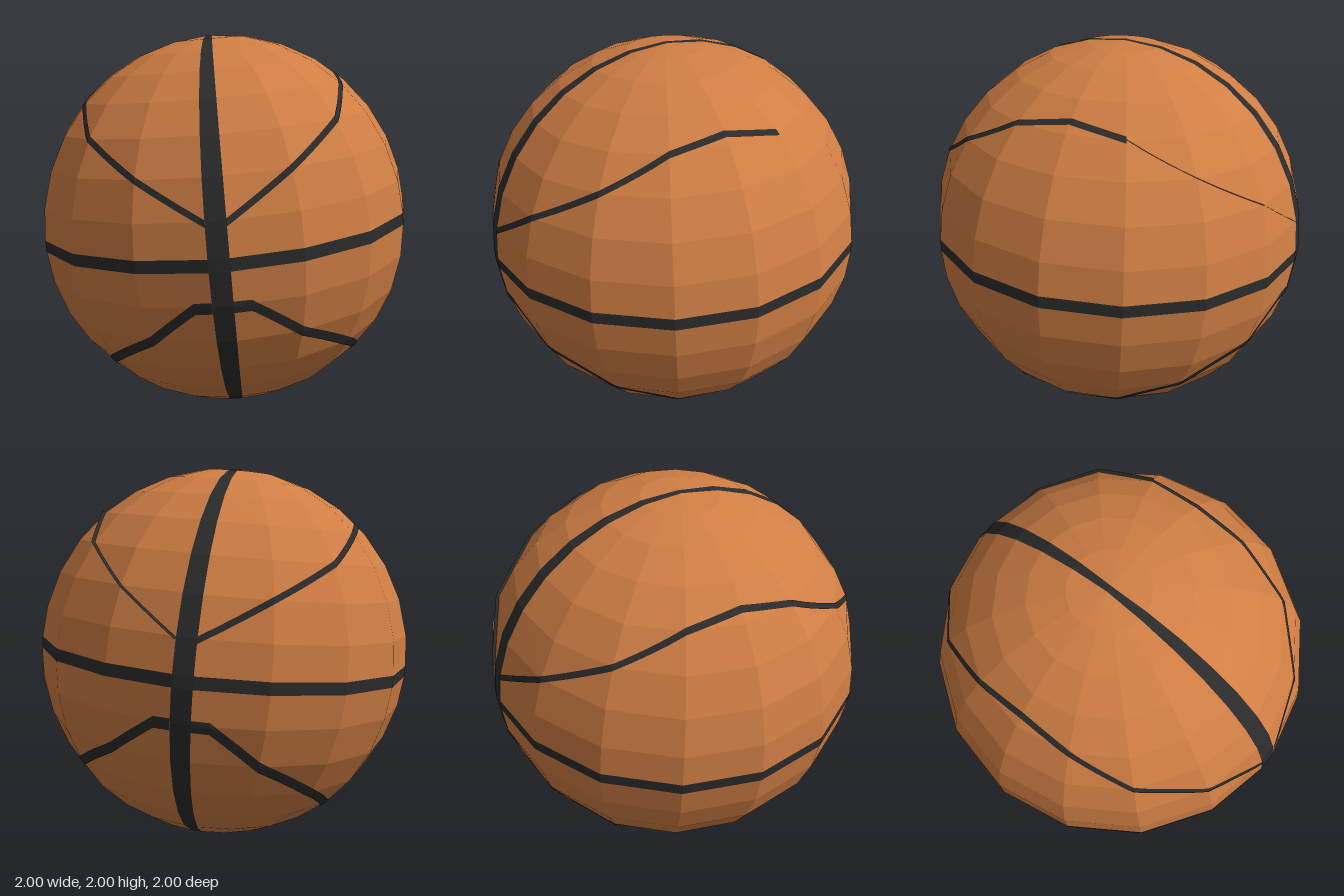
import * as THREE from 'three';

const RAD = Math.PI / 180;
const COLS = 8; // columns from the front seam round to the back seam, each side
const STEP = 11.25;

// latitudes of the rings; the equator is split into the two edges of its seam
const LATS = [];
for (let k = -8; k <= 8; k++) {
  if (k === 0) LATS.push(-1.75, 1.75);
  else LATS.push(k * STEP);
}

// ring point on side s (+1 left, -1 right); the end columns are seam edges
function ringPoint(s, i, j) {
  const lat = LATS[j] * RAD;
  const r = Math.cos(lat), y = Math.sin(lat);
  const w = 0.016 + 0.033 * r;
  if (r < 1e-6) return new THREE.Vector3(s * 0.016, y, 0);
  if (i === 0 || i === COLS) {
    const z = Math.sqrt(r * r - w * w);
    return new THREE.Vector3(s * w, y, i === 0 ? z : -z);
  }
  const a = (i / COLS) * Math.PI;
  return new THREE.Vector3(s * r * Math.sin(a), y, r * Math.cos(a));
}

// point on the faceted surface at column u and latitude in degrees
function surfacePoint(s, u, lat) {
  const i = Math.min(Math.floor(u), COLS - 1);
  let j = 0;
  while (j < LATS.length - 2 && LATS[j + 1] <= lat) j++;
  const t = (lat - LATS[j]) / (LATS[j + 1] - LATS[j]);
  const low = ringPoint(s, i, j).lerp(ringPoint(s, i + 1, j), u - i);
  const high = ringPoint(s, i, j + 1).lerp(ringPoint(s, i + 1, j + 1), u - i);
  return low.lerp(high, t);
}

// corners run counter-clockwise for s = 1 and are flipped for s = -1
function quad(out, a, b, c, d, s = 1) {
  const tris = s > 0 ? [[a, b, c], [a, c, d]] : [[a, c, b], [a, d, c]];
  for (const t of tris) {
    if (new THREE.Triangle(...t).getArea() < 1e-9) continue;
    for (const p of t) out.push(p.x, p.y, p.z);
  }
}

function makeMesh(name, points, material) {
  const geometry = new THREE.BufferGeometry();
  geometry.setAttribute('position', new THREE.Float32BufferAttribute(points, 3));
  geometry.computeVertexNormals();
  const mesh = new THREE.Mesh(geometry, material);
  mesh.name = name;
  return mesh;
}

// curved seam line: path gives latitude at each column, edges may be lifted apart
function curvedSeam(s, path, from, to, half, liftLow, liftHigh) {
  const out = [], along = 8, across = 4;
  const latAt = (u) => {
    let k = 0;
    while (k < path.length - 2 && path[k + 1][0] <= u) k++;
    const [u0, l0] = path[k], [u1, l1] = path[k + 1];
    return l0 + (l1 - l0) * (u - u0) / (u1 - u0);
  };
  const at = (u, t) => surfacePoint(s, u, latAt(u) + (2 * t - 1) * half)
    .multiplyScalar(liftLow + (liftHigh - liftLow) * t);
  const n = (to - from) * along;
  for (let k = 0; k < n; k++) {
    const u0 = from + k / along, u1 = from + (k + 1) / along;
    for (let m = 0; m < across; m++) {
      const t0 = m / across, t1 = (m + 1) / across;
      quad(out, at(u0, t0), at(u1, t0), at(u1, t1), at(u0, t1), s);
    }
  }
  return out;
}

export function createModel() {
  const leather = new THREE.MeshStandardMaterial({ color: 0xd07e44, flatShading: true });
  leather.name = 'orange leather';
  const rubber = new THREE.MeshStandardMaterial({ color: 0x2b2b2b, flatShading: true });
  rubber.name = 'black rubber';

  const model = new THREE.Group();
  model.name = 'ball';
  const ball = new THREE.Group();
  ball.name = 'tiltedBall';
  ball.position.y = 1;
  ball.rotation.z = 0.085;
  model.add(ball);

  // panels and equator seam
  const panels = [], equator = [], meridian = [];
  for (let j = 0; j < LATS.length - 1; j++) {
    const target = LATS[j] === -1.75 ? equator : panels;
    for (const s of [1, -1]) {
      for (let i = 0; i < COLS; i++) {
        quad(target, ringPoint(s, i, j), ringPoint(s, i + 1, j),
          ringPoint(s, i + 1, j + 1), ringPoint(s, i, j + 1), s);
      }
    }
    // seam over the poles, front and back
    quad(meridian, ringPoint(-1, 0, j), ringPoint(1, 0, j),
      ringPoint(1, 0, j + 1), ringPoint(-1, 0, j + 1));
    quad(meridian, ringPoint(1, COLS, j), ringPoint(-1, COLS, j),
      ringPoint(-1, COLS, j + 1), ringPoint(1, COLS, j + 1));
  }
  ball.add(makeMesh('panels', panels, leather));
  ball.add(makeMesh('equatorSeam', equator, rubber));
  ball.add(makeMesh('meridianSeam', meridian, rubber));

  // curved side seams, arching away from the equator
  const mirrored = (half) => [...half, ...half.slice(0, -1).reverse().map(([u, l]) => [COLS - u, l])];
  const upper = mirrored([[0, 10.8], [1, 22.5], [2, 33.75], [3, 45], [4, 49]]);
  const lower = mirrored([[0, -11.6], [0.25, -11.8], [1, -22.5], [2, -33.75], [3, -45], [4, -47.5]]);
  const seams = [
    ['upperRightSeam', curvedSeam(-1, upper, 0, 8, 1, 1.004, 1.004)],
    ['upperLeftSeam', curvedSeam(1, upper, 0, 5, 1, 1.004, 1.004)],
    // raised lip that only shows from above
    ['upperLeftRearLip', curvedSeam(1, upper, 5, 8, 0.3, 1.016, 1.0)],
    ['lowerRightSeam', curvedSeam(-1, lower, 0, 8, 1.7, 1.004, 1.004)],
    ['lowerLeftSeam', curvedSeam(1, lower, 0, 8, 1.7, 1.004, 1.004)],
  ];
  for (const [name, points] of seams) ball.add(makeMesh(name, points, rubber));

  return model;
}
